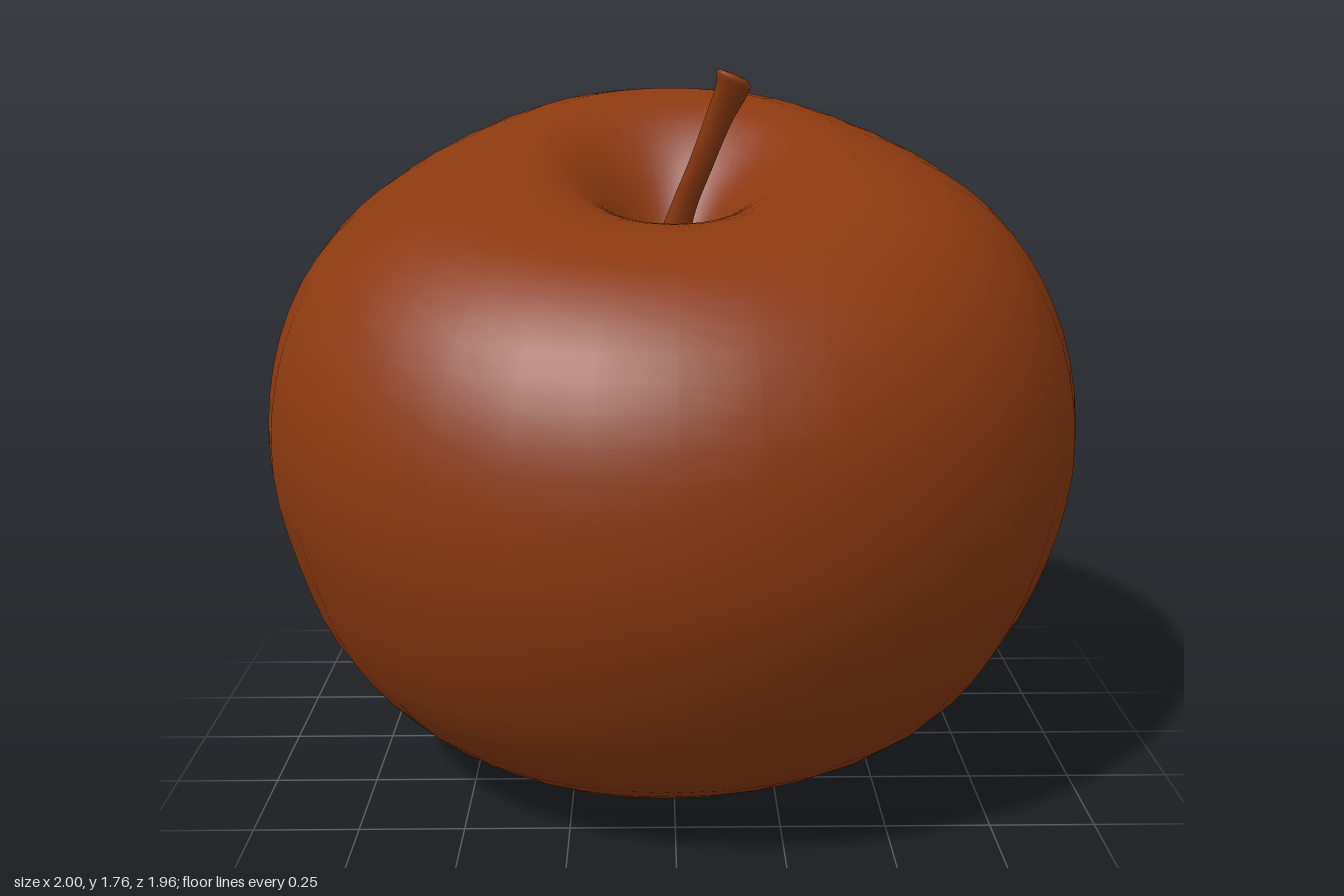
import * as THREE from 'three';

// Skin a closed surface: meridian(angle) gives the points of one line from bottom pole to top pole.
function loft(meridian, sides, steps) {
  const pos = [], idx = [];
  for (let j = 0; j < sides; j++) {
    const curve = new THREE.CatmullRomCurve3(meridian((j / sides) * Math.PI * 2), false, 'catmullrom', 0.5);
    for (let i = 0; i <= steps; i++) pos.push(...curve.getPoint(i / steps).toArray());
  }
  const row = steps + 1;
  for (let j = 0; j < sides; j++) {
    const a = j * row, b = ((j + 1) % sides) * row;
    for (let i = 0; i < steps; i++) {
      idx.push(a + i, a + i + 1, b + i + 1, a + i, b + i + 1, b + i);
    }
  }
  const g = new THREE.BufferGeometry();
  g.setAttribute('position', new THREE.Float32BufferAttribute(pos, 3));
  g.setIndex(idx);
  g.computeVertexNormals();
  return g;
}

// Fruit rings, bottom to top: front z, y; back z, y; right x, left x, side y
const RINGS = [
  [-0.06, 0.13, -0.06, 0.13, -0.12, -0.12, 0.13],
  [0.08, 0.11, -0.2, 0.11, -0.24, 0.02, 0.1],
  [0.2, 0.05, -0.35, 0.06, -0.34, 0.18, 0.04],
  [0.33, 0.02, -0.49, 0.03, -0.42, 0.34, 0.005],
  [0.5, 0.08, -0.62, 0.07, -0.54, 0.51, 0.045],
  [0.7, 0.22, -0.77, 0.19, -0.73, 0.73, 0.19],
  [0.85, 0.42, -0.87, 0.36, -0.87, 0.86, 0.37],
  [0.95, 0.65, -0.95, 0.55, -0.95, 0.95, 0.58],
  [0.98, 0.85, -0.98, 0.8, -1, 1, 0.82],
  [0.96, 1.06, -0.96, 0.99, -0.98, 0.98, 1.05],
  [0.88, 1.23, -0.87, 1.21, -0.9, 0.9, 1.26],
  [0.75, 1.35, -0.75, 1.41, -0.77, 0.78, 1.42],
  [0.61, 1.41, -0.59, 1.59, -0.6, 0.61, 1.53],
  [0.47, 1.43, -0.38, 1.69, -0.42, 0.42, 1.58],
  [0.36, 1.42, -0.2, 1.66, -0.28, 0.28, 1.56],
  [0.27, 1.38, -0.06, 1.54, -0.16, 0.16, 1.46],
  [0.2, 1.31, 0.05, 1.36, -0.07, 0.07, 1.33],
  [0.12, 1.28, 0.12, 1.28, 0, 0, 1.28],
];

function fruitMeridian(a) {
  const c = Math.cos(a), s = Math.sin(a);
  return RINGS.map(([zf, yf, zb, yb, xr, xl, ys]) => new THREE.Vector3(
    (xl + xr) / 2 + ((xl - xr) / 2) * c,
    ys + ((yf - yb) / 2) * s + ((yf + yb) / 2 - ys) * s * s,
    (zf + zb) / 2 + ((zf - zb) / 2) * s,
  ));
}

// Stem sections: x, y, z, radius
const STEM = [
  [-0.02, 1.26, 0.12, 0],
  [-0.02, 1.27, 0.13, 0.04],
  [0.02, 1.43, 0.19, 0.028],
  [0.06, 1.54, 0.245, 0.026],
  [0.1, 1.65, 0.29, 0.028],
  [0.127, 1.715, 0.325, 0.034],
  [0.13, 1.745, 0.335, 0.036],
  [0.13, 1.752, 0.335, 0],
];

function stemMeridian(a) {
  return STEM.map(([x, y, z, r]) => new THREE.Vector3(
    x + r * Math.cos(a),
    y - r * 0.4 * Math.cos(a),
    z + r * Math.sin(a),
  ));
}

export function createModel() {
  const model = new THREE.Group();
  const skin = new THREE.MeshStandardMaterial({ color: 0x8b390f });
  skin.name = 'russet';

  const add = (name, geometry, parent = model) => {
    const mesh = new THREE.Mesh(geometry, skin);
    mesh.name = name;
    parent.add(mesh);
    return mesh;
  };

  add('fruit', loft(fruitMeridian, 36, 51));
  add('stem', loft(stemMeridian, 8, 21));

  // Shrivelled sepals in the hollow underneath
  const calyx = new THREE.Group();
  calyx.name = 'calyx';
  calyx.position.set(-0.12, 0.12, -0.06);
  for (let i = 0; i < 5; i++) {
    const turn = new THREE.Group();
    turn.rotation.y = (i / 5) * Math.PI * 2 + 0.3;
    const sepal = add('sepal', new THREE.ConeGeometry(0.045, 0.13, 6), turn);
    sepal.scale.z = 0.35;
    sepal.position.set(0, -0.025, 0.075);
    sepal.rotation.x = Math.PI / 2 + 0.35 + 0.15 * (i % 2);
    calyx.add(turn);
  }
  model.add(calyx);
  return model;
}
